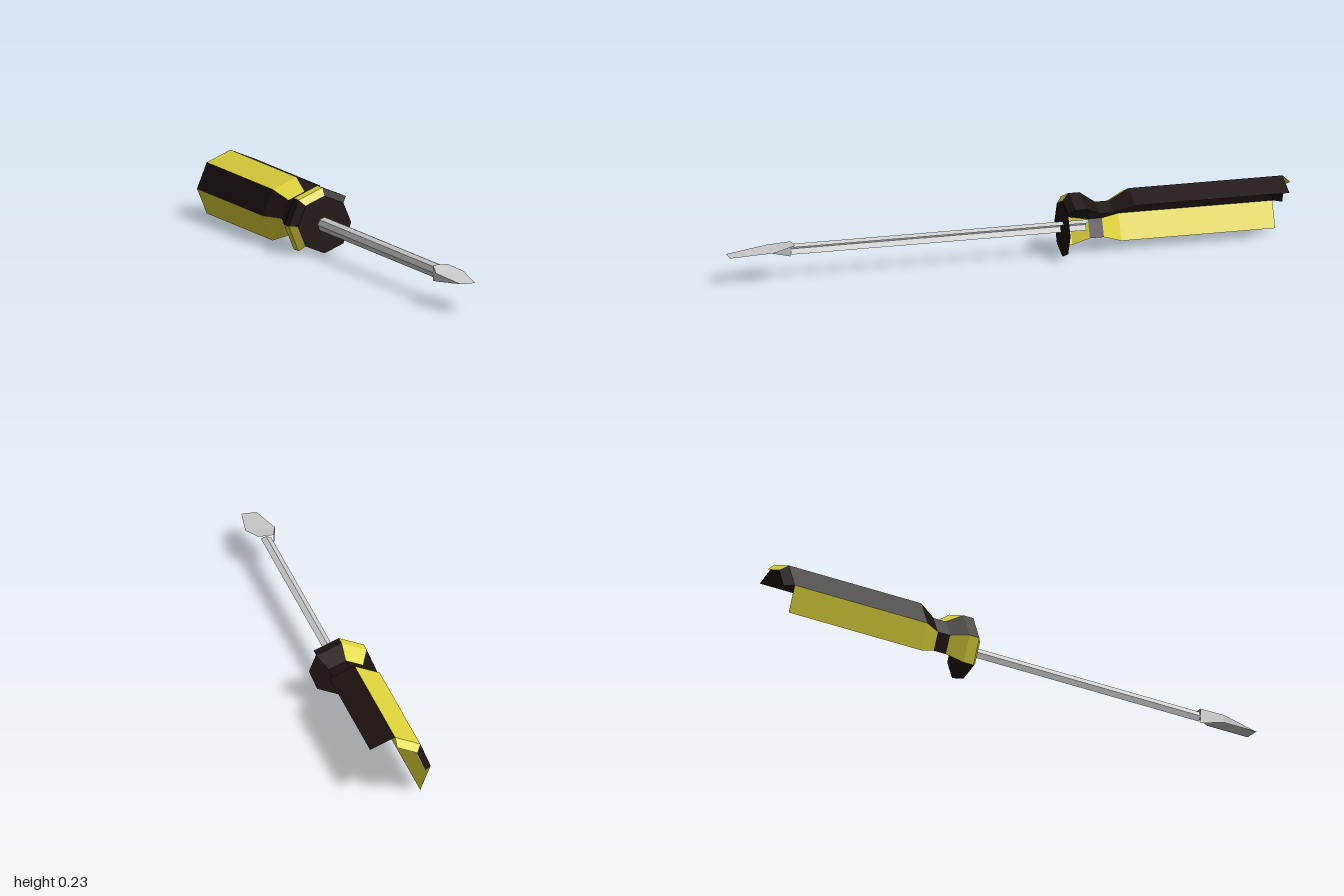
import * as THREE from 'three';

const makeMaterial = (color) =>
  new THREE.MeshStandardMaterial({ color, flatShading: true, side: THREE.DoubleSide });

// Mesh from a list of polygons, each a loop of [x, y, z] corners
function polygonMesh(name, polygons, material) {
  const positions = [];
  for (const p of polygons) {
    for (let i = 1; i < p.length - 1; i++) positions.push(...p[0], ...p[i], ...p[i + 1]);
  }
  const geometry = new THREE.BufferGeometry();
  geometry.setAttribute('position', new THREE.Float32BufferAttribute(positions, 3));
  geometry.computeVertexNormals();
  const mesh = new THREE.Mesh(geometry, material);
  mesh.name = name;
  return mesh;
}

// Corner of the octagonal section: step counts eighths of a turn
const corner = (step, [r, z]) => {
  const a = (step * Math.PI) / 4;
  return [r * Math.cos(a), r * Math.sin(a), z];
};
const facet = (step, front, back) => [
  corner(step, front), corner(step, back), corner(step + 1, back), corner(step + 1, front),
];

export function createModel() {
  const group = new THREE.Group();
  const black = makeMaterial(0x1e1412);
  const yellow = makeMaterial(0xe0d43a);
  const steel = makeMaterial(0xcccccc);
  const openSides = [1, 2, 3, 4]; // the eighths that carry a wall

  // Handle: alternating coloured staves around a waisted profile [radius, z]
  const profile = [
    [0.1, -0.19], [0.1255, -0.21], [0.1255, -0.25], [0.087, -0.305],
    [0.087, -0.355], [0.1255, -0.425], [0.1255, -0.972], [0.1, -1],
  ];
  const neckBand = 3, endBevel = 6;
  const blackFaces = [], yellowFaces = [];
  for (const step of openSides) {
    for (let i = 0; i < profile.length - 1; i++) {
      if (i === endBevel && step !== 2 && step !== 3) continue;
      const list = step % 2 === 0 && i !== neckBand ? yellowFaces : blackFaces;
      list.push(facet(step, profile[i], profile[i + 1]));
    }
  }
  group.add(polygonMesh('handleBlackStaves', blackFaces, black));
  group.add(polygonMesh('handleYellowStaves', yellowFaces, yellow));

  // Full octagonal plate closing the front of the handle
  const collar = new THREE.Mesh(new THREE.CircleGeometry(0.1, 8), black);
  collar.name = 'handleFrontPlate';
  collar.position.z = -0.19;
  group.add(collar);

  // Shaft: faceted channel running into the handle
  const shaftFaces = openSides.map((s) => facet(s, [0.026, 0.77], [0.026, -0.28]));
  group.add(polygonMesh('shaft', shaftFaces, steel));

  // Blade: sections [half width, half thickness, z] narrowing to a flat tip
  const [rear, middle, tip] = [[0.027, 0.027, 0.77], [0.052, 0.014, 0.85], [0.027, 0, 1]];
  const at = ([w, h, z], sx, sy) => [sx * w, sy * h, z];
  const bladeFaces = [
    [at(rear, -1, 1), at(middle, -1, 1), at(middle, 1, 1), at(rear, 1, 1)],
    [at(middle, -1, 1), at(tip, -1, 1), at(tip, 1, 1), at(middle, 1, 1)],
    [at(rear, -1, -1), at(middle, -1, -1), at(middle, -1, 1), at(rear, -1, 1)],
    [at(middle, -1, -1), at(tip, -1, 1), at(middle, -1, 1)],
  ];
  group.add(polygonMesh('blade', bladeFaces, steel));

  // Lift the axis so the handle rests on the ground
  for (const part of group.children) {
    part.position.x = 0.0125;
    part.position.y = 0.1;
  }
  return group;
}
